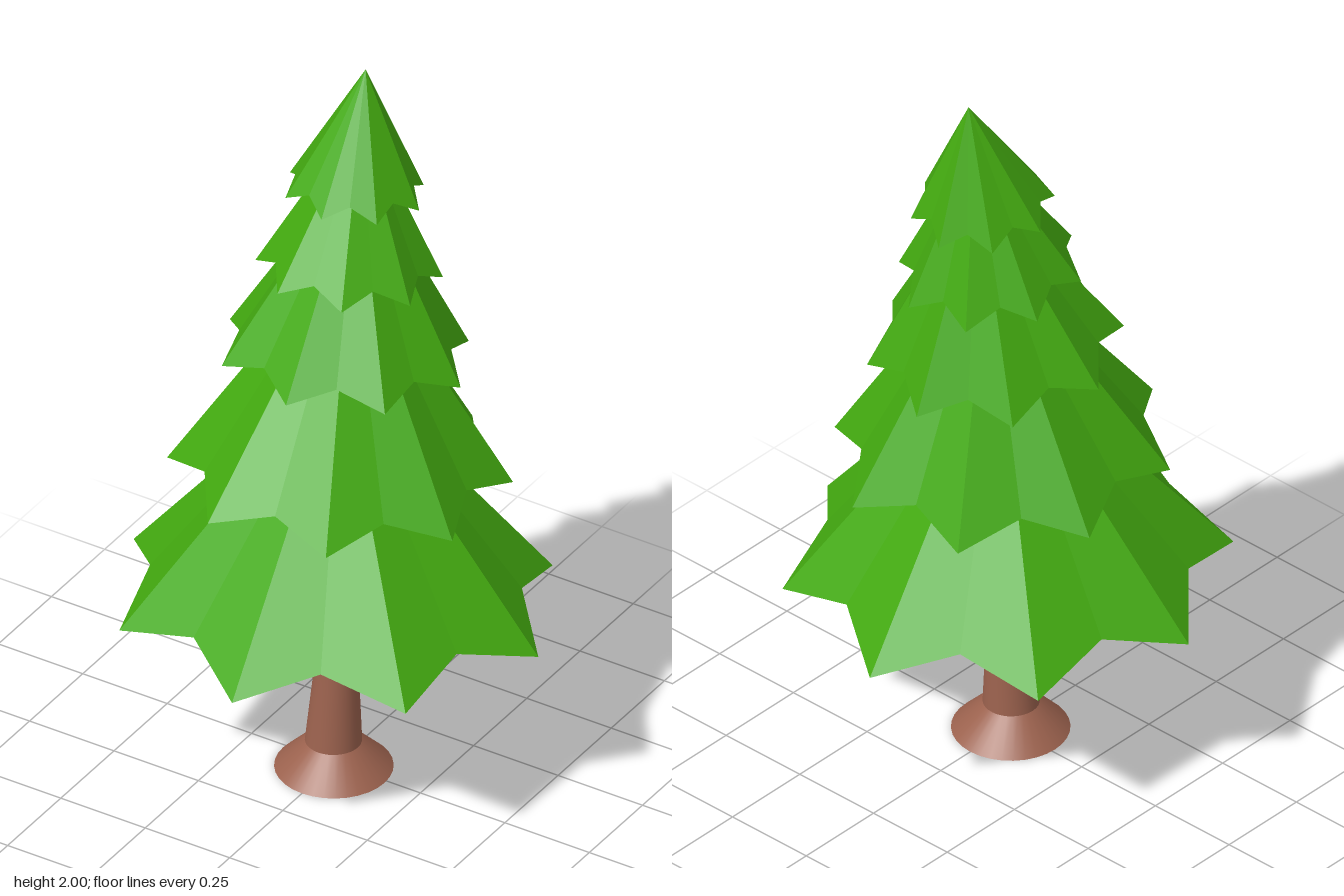
import * as THREE from 'three';

const leafGreen = new THREE.MeshStandardMaterial({ color: 0x43aa10, side: THREE.DoubleSide, flatShading: true });
leafGreen.name = 'leaf green';
const barkBrown = new THREE.MeshStandardMaterial({ color: 0x9c624e, side: THREE.DoubleSide });
barkBrown.name = 'bark brown';

// Branch tiers: c = hem centre [x, y, z], r = tip radius, lift = notch height,
// turn = twist in degrees, tilt = backward droop, apex = peak point
const tiers = [
  { c: [0, 0.5, 0], r: 0.57, lift: 0.065, turn: 5, tilt: 0.044, apex: [-0.005, 1.19, -0.035] },
  { c: [-0.003, 0.873, -0.024], r: 0.435, lift: 0.05, turn: 27.5, tilt: 0.066, apex: [-0.01, 1.53, -0.085] },
  { c: [-0.006, 1.207, -0.053], r: 0.325, lift: 0.042, turn: 5, tilt: 0.117, apex: [-0.012, 1.75, -0.125] },
  { c: [-0.01, 1.448, -0.078], r: 0.236, lift: 0.04, turn: 27.5, tilt: 0.12, apex: [-0.013, 1.88, -0.138] },
  { c: [-0.013, 1.663, -0.108], r: 0.182, lift: 0.035, turn: 5, tilt: 0.13, apex: [-0.015, 2, -0.163] },
];

// Eight-sided pyramid with a notched hem and a shallow hollow underside
function tierGeometry({ c, r, lift, turn, tilt, apex }) {
  const n = 16;
  const hem = [];
  for (let i = 0; i < n; i++) {
    const notch = i % 2 === 1;
    const a = THREE.MathUtils.degToRad(turn + i * 22.5);
    const rad = r * (notch ? 0.82 : 1);
    const z = Math.cos(a) * rad;
    hem.push([c[0] + Math.sin(a) * rad, c[1] + (notch ? lift : 0) + tilt * z, c[2] + z]);
  }
  const hollow = [c[0], c[1] + r * 0.19, c[2]];
  const pos = [];
  for (let i = 0; i < n; i++) {
    const p = hem[i], q = hem[(i + 1) % n];
    pos.push(...p, ...q, ...apex);
    pos.push(...q, ...p, ...hollow);
  }
  const g = new THREE.BufferGeometry();
  g.setAttribute('position', new THREE.Float32BufferAttribute(pos, 3));
  g.computeVertexNormals();
  return g;
}

// Round tube through rings of [x, y, z, radius]
function ringTube(rings, sides = 32) {
  const pos = [], index = [];
  rings.forEach(([x, y, z, r], k) => {
    for (let i = 0; i < sides; i++) {
      const a = (i / sides) * Math.PI * 2;
      pos.push(x + Math.sin(a) * r, y, z + Math.cos(a) * r);
      if (k === 0) continue;
      const j = (i + 1) % sides, lo = (k - 1) * sides, hi = k * sides;
      index.push(lo + i, lo + j, hi + j, lo + i, hi + j, hi + i);
    }
  });
  const g = new THREE.BufferGeometry();
  g.setAttribute('position', new THREE.Float32BufferAttribute(pos, 3));
  g.setIndex(index);
  g.computeVertexNormals();
  return g;
}

export function createModel() {
  const tree = new THREE.Group();
  tree.name = 'pineTree';
  const add = (name, geometry, material) => {
    const mesh = new THREE.Mesh(geometry, material);
    mesh.name = name;
    tree.add(mesh);
  };

  // Flared root collar and slightly bent trunk
  add('rootFlare', ringTube([[0, 0, 0.01, 0.15], [0, 0.08, 0.012, 0.072]]), barkBrown);
  add('trunk', ringTube([
    [0, 0.08, 0.012, 0.072],
    [0.005, 0.27, 0.008, 0.058],
    [0.008, 0.42, 0.004, 0.054],
    [0.005, 0.65, 0, 0.052],
  ]), barkBrown);

  // Branch tiers from bottom to top
  tiers.forEach((t, i) => add(`branchTier${i + 1}`, tierGeometry(t), leafGreen));
  return tree;
}
